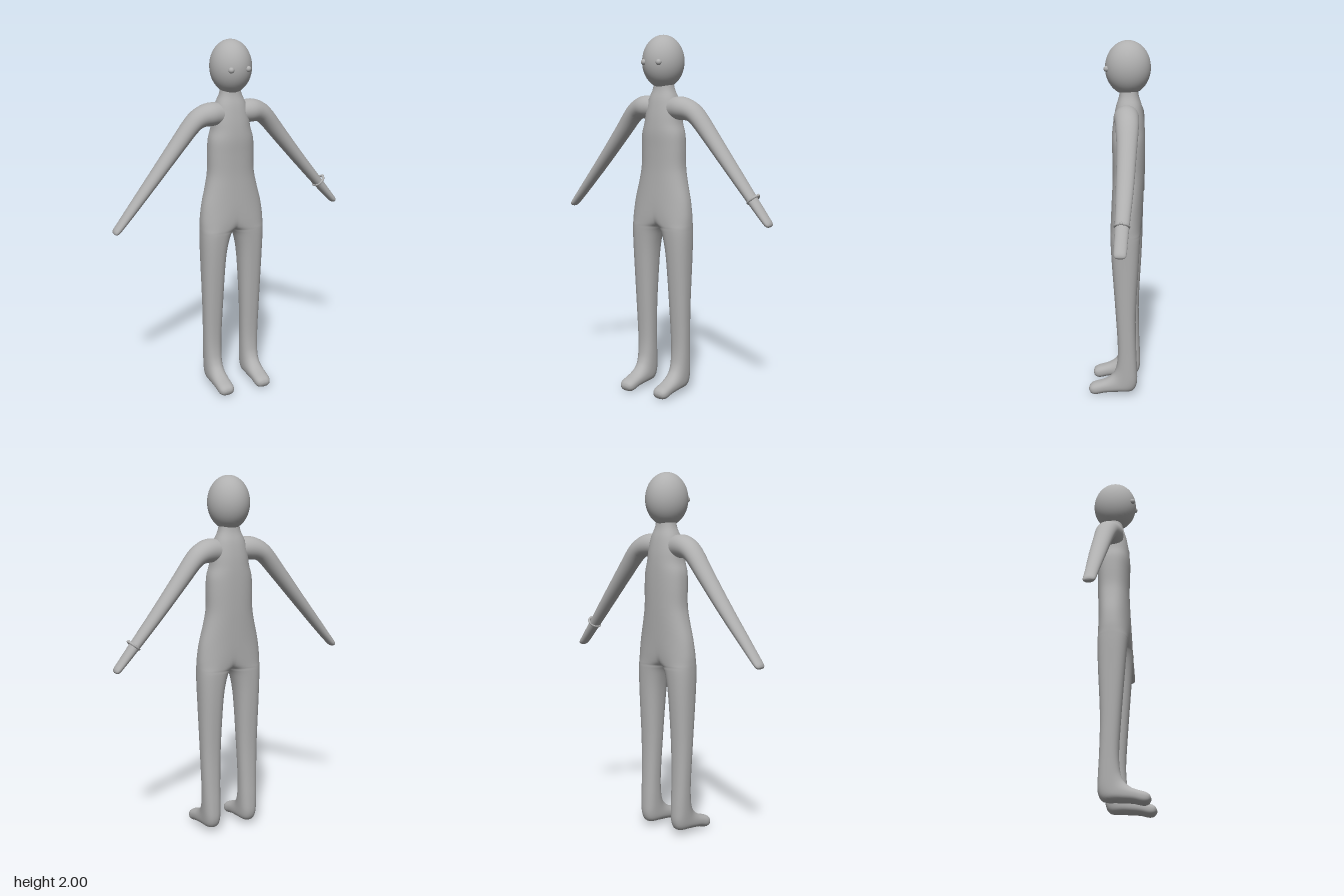
import * as THREE from 'three';
import { mergeVertices, mergeGeometries } from 'three/addons/utils/BufferGeometryUtils.js';

const skinGrey = new THREE.MeshStandardMaterial({ color: 0xb0b0b0 });
skinGrey.name = 'plain grey';

// Smoothly resample a short list of cross-sections
function resample(sections, steps) {
  const size = sections[0].length;
  const curve = new THREE.CubicInterpolant(sections.map((_, i) => i), sections.flat(), size);
  const count = (sections.length - 1) * steps;
  return Array.from({ length: count + 1 }, (_, i) => Array.from(curve.evaluate(i / steps)));
}

// Skin a list of equal-length rings of [x, y, z]; the last ring may be capped
function skin(rings, cap) {
  const n = rings[0].length, pos = rings.flat(), index = [];
  for (let i = 0; i < rings.length - 1; i++) {
    for (let j = 0; j < n - 1; j++) {
      const a = i * n + j, c = a + n;
      index.push(a, a + 1, c, a + 1, c + 1, c);
    }
  }
  if (cap) {
    const last = rings[rings.length - 1], base = (rings.length - 1) * n;
    pos.push([0, 1, 2].map((k) => last.reduce((s, p) => s + p[k], 0) / n));
    for (let j = 0; j < n - 1; j++) index.push(base + j, base + j + 1, pos.length - 1);
  }
  const geo = new THREE.BufferGeometry();
  geo.setAttribute('position', new THREE.Float32BufferAttribute(pos.flat(), 3));
  geo.setIndex(index);
  return geo;
}

function mirror(geo) {
  const m = geo.clone().scale(-1, 1, 1);
  m.setIndex(Array.from(geo.index.array).reverse());
  return m;
}

function smooth(geo) {
  const g = mergeVertices(geo, 1e-4);
  g.computeVertexNormals();
  return g;
}

// One half of the body, neck to toe. Each section: outer x, inner x, front z, front y, back z, back y.
// Where inner x is negative the ring is cut open at the middle plane.
function halfBody() {
  const torso = [
    [1.78, 0.05, -0.05, 0.0, -0.095], [1.71, 0.06, -0.06, 0.003, -0.1],
    [1.65, 0.086, -0.086, 0.02, -0.118], [1.58, 0.102, -0.102, 0.033, -0.13],
    [1.52, 0.11, -0.11, 0.04, -0.135], [1.46, 0.127, -0.127, 0.043, -0.137],
    [1.38, 0.132, -0.132, 0.04, -0.137], [1.28, 0.134, -0.134, 0.038, -0.135],
    [1.2, 0.149, -0.149, 0.04, -0.132], [1.1, 0.174, -0.17, 0.044, -0.128],
    [1.02, 0.185, -0.11, 0.045, -0.124], [0.97, 0.187, -0.045, 0.044, -0.121],
    [0.94, 0.187, 0, 0.043, -0.12], [0.88, 0.186, 0.026, 0.04, -0.118],
    [0.76, 0.182, 0.045, 0.032, -0.113], [0.5, 0.174, 0.059, 0.013, -0.1],
    [0.3, 0.169, 0.066, 0.001, -0.102],
  ].map(([y, xo, xi, zf, zb]) => [xo, xi, zf, y, zb, y]);
  const foot = [
    [0.167, 0.067, 0.005, 0.2, -0.108, 0.16], [0.166, 0.067, 0.017, 0.152, -0.107, 0.075],
    [0.165, 0.067, 0.035, 0.123, -0.08, 0.03], [0.164, 0.068, 0.065, 0.098, -0.01, 0.023],
    [0.163, 0.07, 0.1, 0.082, 0.07, 0.016], [0.162, 0.071, 0.14, 0.069, 0.125, 0.003],
    [0.152, 0.081, 0.159, 0.056, 0.152, 0.009], [0.135, 0.1, 0.166, 0.04, 0.164, 0.025],
  ];
  const p = 0.85, seg = 40;
  const shape = (v) => Math.sign(v) * Math.abs(v) ** p;
  const rings = resample([...torso, ...foot], 4).map(([xo, xi, zf, yf, zb, yb]) => {
    const cx = (xo + xi) / 2, rx = (xo - xi) / 2;
    const ratio = Math.min(1, Math.max(0, cx / rx));
    const end = xi < 1e-6 ? Math.acos(-(ratio ** (1 / p))) : Math.PI;
    return Array.from({ length: seg + 1 }, (_, j) => {
      const a = -end + (2 * end * j) / seg, t = shape(Math.sin(a));
      let x = cx + rx * shape(Math.cos(a));
      if (xi < 1e-6 && (j === 0 || j === seg)) x = 0;
      return [Math.max(0, x), (yf + yb) / 2 + (t * (yf - yb)) / 2, (zf + zb) / 2 + (t * (zf - zb)) / 2];
    });
  });
  return skin(rings, true);
}

// Left arm. Each section: x, y, z, half thickness, half depth
function armGeometry() {
  const rows = resample([
    [0.05, 1.6, -0.045, 0.058, 0.058], [0.12, 1.604, -0.045, 0.064, 0.068],
    [0.178, 1.589, -0.053, 0.056, 0.064], [0.225, 1.553, -0.058, 0.049, 0.06],
    [0.3, 1.462, -0.062, 0.044, 0.053], [0.442, 1.289, -0.064, 0.035, 0.046],
    [0.58, 1.125, -0.062, 0.027, 0.037], [0.65, 1.043, -0.061, 0.021, 0.034],
    [0.674, 1.016, -0.061, 0.018, 0.032], [0.684, 1.006, -0.061, 0.011, 0.024],
    [0.687, 1.003, -0.061, 0.003, 0.008],
  ], 4);
  const rings = rows.map(([x, y, z, r, d], i) => {
    const a = rows[Math.max(0, i - 1)], b = rows[Math.min(rows.length - 1, i + 1)];
    const len = Math.hypot(b[0] - a[0], b[1] - a[1]);
    const nx = -(b[1] - a[1]) / len, ny = (b[0] - a[0]) / len;
    return Array.from({ length: 33 }, (_, j) => {
      const t = (j / 32) * Math.PI * 2, c = r * Math.cos(t);
      return [x + nx * c, y + ny * c, z + d * Math.sin(t)];
    });
  });
  return skin(rings, true);
}

export function createModel() {
  const model = new THREE.Group();
  model.name = 'figure';
  const add = (name, geo, parent = model) => {
    const mesh = new THREE.Mesh(geo, skinGrey);
    mesh.name = name;
    parent.add(mesh);
    return mesh;
  };

  // Torso, legs and feet in one smooth skin
  const half = halfBody();
  add('body', smooth(mergeGeometries([half, mirror(half)])));

  // Arms
  const arm = armGeometry();
  add('leftArm', smooth(arm));
  add('rightArm', smooth(mirror(arm)));

  // Head and eyes
  const head = add('head', new THREE.SphereGeometry(1, 48, 32));
  head.scale.set(0.113, 0.145, 0.123);
  head.position.set(0, 1.855, -0.043);
  for (const side of [1, -1]) {
    const eye = add(side > 0 ? 'leftEye' : 'rightEye', new THREE.SphereGeometry(0.016, 20, 14));
    eye.position.set(side * 0.05, 1.853, 0.067);
  }

  // Bracelet with a small bead on the left wrist
  const bracelet = new THREE.Group();
  bracelet.name = 'bracelet';
  const along = new THREE.Vector3(0.65, -0.76, 0).normalize();
  const across = new THREE.Vector3(-along.y, along.x, 0);
  bracelet.quaternion.setFromRotationMatrix(
    new THREE.Matrix4().makeBasis(across, new THREE.Vector3(0, 0, 1), along));
  bracelet.position.set(0.578, 1.138, -0.062);
  add('band', new THREE.TorusGeometry(0.035, 0.007, 12, 40), bracelet);
  add('bead', new THREE.SphereGeometry(0.009, 14, 10), bracelet).position.set(0.038, 0, 0);
  model.add(bracelet);
  return model;
}
